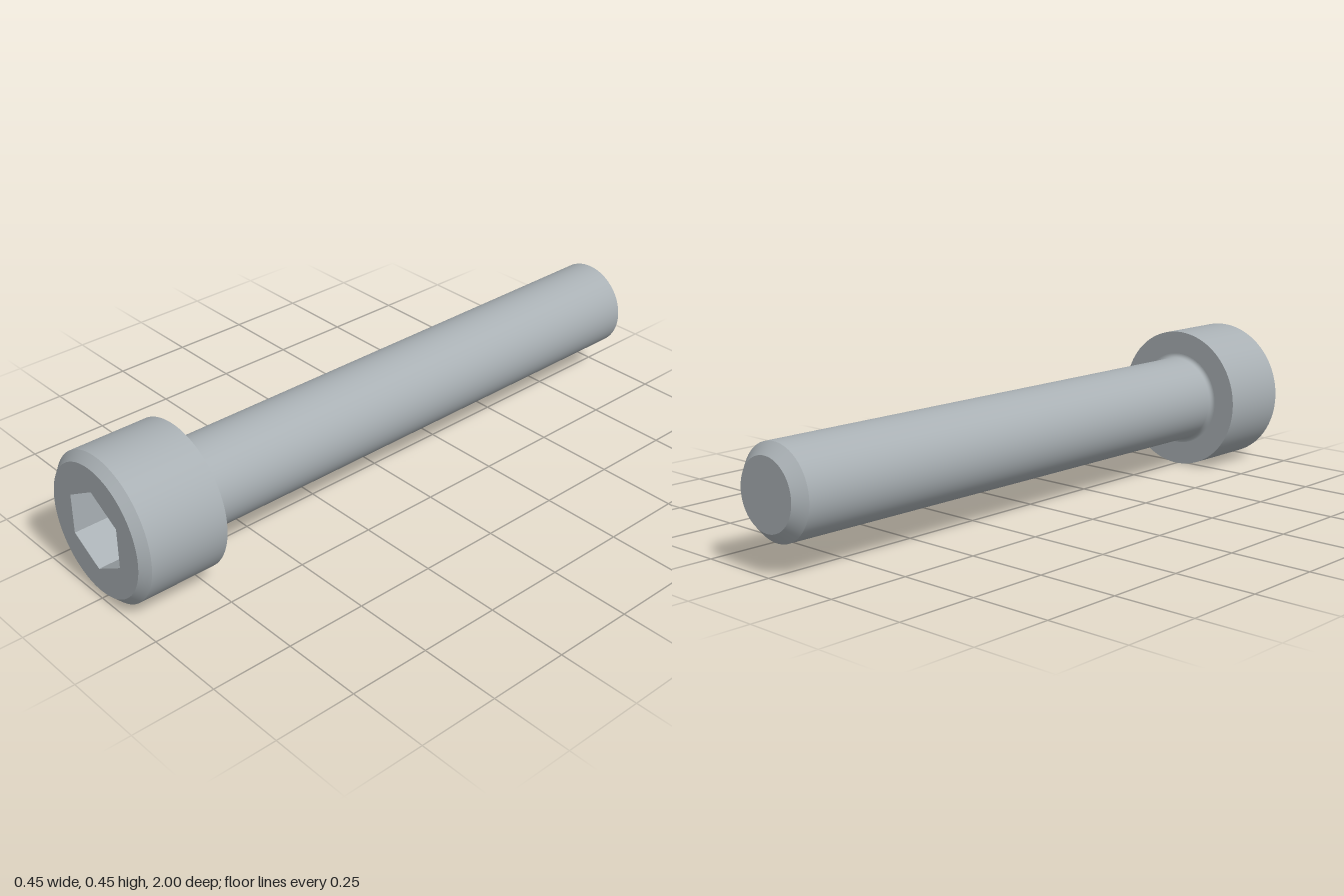
import * as THREE from 'three';
import { mergeGeometries } from 'three/addons/utils/BufferGeometryUtils.js';

const HEAD_R = 0.2235, FACE_R = 0.198, HEAD_BACK = 0.73;
const SHANK_R = 0.1365, TIP_R = 0.104, FILLET = 0.014;
const HEX_R = 0.1245, BORE_R = 0.1078, FLOOR = 0.86, APEX = 0.8;

// Surface of revolution around z from [radius, z] points
function turn(points, segments = 96) {
  const g = new THREE.LatheGeometry(points.map(([r, z]) => new THREE.Vector2(r, z)), segments);
  return g.rotateX(Math.PI / 2);
}

// Each run of points is smooth in itself, with sharp edges between runs
const turnRuns = (...runs) => mergeGeometries(runs.map((r) => turn(r)));

function hexPoints() {
  return Array.from({ length: 6 }, (_, i) => {
    const a = Math.PI / 2 + (i * Math.PI) / 3;
    return new THREE.Vector2(HEX_R * Math.cos(a), HEX_R * Math.sin(a));
  });
}

const circle = (Type, r) => new Type().absarc(0, 0, r, 0, Math.PI * 2, false);

export function createModel() {
  const steel = new THREE.MeshStandardMaterial({ color: 0xa9b0b4 });
  steel.name = 'steel';
  const model = new THREE.Group();
  model.name = 'socketHeadScrew';
  const add = (name, geometry) => {
    const mesh = new THREE.Mesh(geometry, steel);
    mesh.name = name;
    mesh.position.y = HEAD_R;
    model.add(mesh);
  };

  // Shank with chamfered tip and a small fillet under the head
  const fillet = Array.from({ length: 9 }, (_, i) => {
    const a = (i / 8) * Math.PI / 2;
    return [SHANK_R + FILLET * (1 - Math.cos(a)), HEAD_BACK - FILLET * (1 - Math.sin(a))];
  });
  add('shank', turnRuns(
    [[0, -1], [TIP_R, -1]],
    [[TIP_R, -1], [SHANK_R, -0.968]],
    [[SHANK_R, -0.968], [SHANK_R, HEAD_BACK - FILLET - 0.01], ...fillet],
  ));

  // Head: underside, cylindrical side and front chamfer
  add('head', turnRuns(
    [[SHANK_R + FILLET, HEAD_BACK], [HEAD_R, HEAD_BACK]],
    [[HEAD_R, HEAD_BACK], [HEAD_R, 0.975]],
    [[HEAD_R, 0.975], [FACE_R, 1]],
  ));

  // Front face with the hexagonal opening
  const face = circle(THREE.Shape, FACE_R);
  face.holes.push(new THREE.Path(hexPoints()));
  add('headFace', new THREE.ShapeGeometry(face, 96).translate(0, 0, 1));

  // Socket: six flat walls, corner ledges and a drilled conical bottom
  const walls = turn([[HEX_R, 1], [HEX_R, FLOOR]], 6).toNonIndexed();
  walls.computeVertexNormals();
  add('socketWalls', walls);
  const ledge = new THREE.Shape(hexPoints());
  ledge.holes.push(circle(THREE.Path, BORE_R));
  add('socketLedge', new THREE.ShapeGeometry(ledge, 96).translate(0, 0, FLOOR));
  add('socketCone', turn([[BORE_R, FLOOR], [0, APEX]]));

  return model;
}
